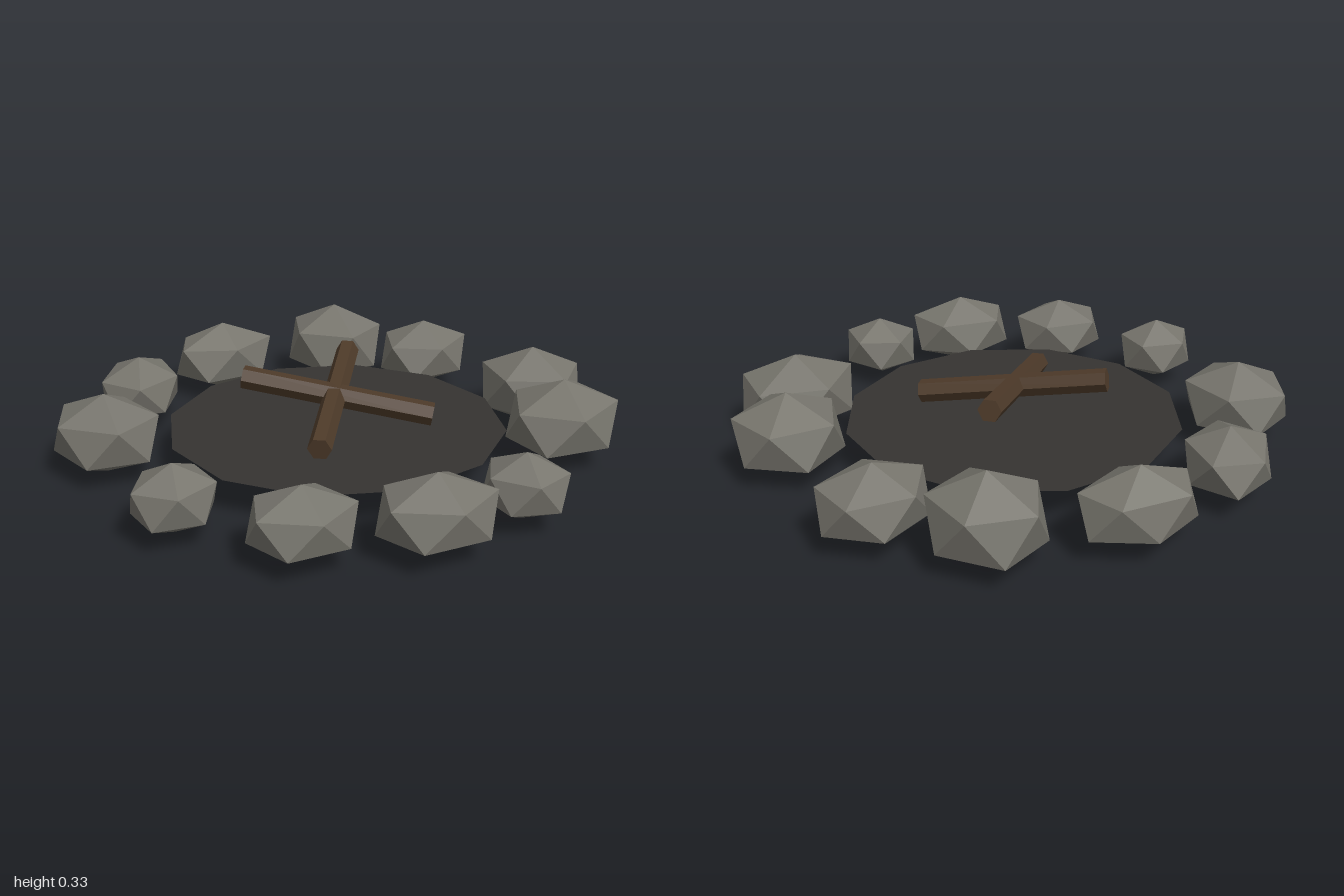
import * as THREE from 'three';

const rad = THREE.MathUtils.degToRad;
const mat = (color, side = THREE.FrontSide) => {
  const m = new THREE.MeshStandardMaterial({ color, flatShading: true });
  m.side = side;
  return m;
};

// Unit icosahedron standing on a corner, one upper ring corner towards +x
function standingIcosahedron() {
  const t = (1 + Math.sqrt(5)) / 2;
  return new THREE.IcosahedronGeometry(1, 0).rotateZ(-Math.atan(1 / t));
}

// Angles run from +x towards +z; stretch is applied along the given axis
function makeStone({ x, z, a, b, h, axis = 0, phase = -90 }, material) {
  const ring = 2 / Math.sqrt(5);
  const g = standingIcosahedron();
  g.rotateY(rad(axis - phase));
  g.scale(a / ring, h, b / ring);
  g.rotateY(-rad(axis));
  const stone = new THREE.Mesh(g, material);
  // the lower ring of every stone lies at the same height
  stone.position.set(x, 0.1 + 0.447 * h, z);
  return stone;
}

// Six-sided log between two points, flat side up
function makeLog(from, to, radius, material) {
  const dir = to.clone().sub(from);
  const g = new THREE.CylinderGeometry(radius, radius, dir.length(), 6);
  g.rotateZ(-Math.PI / 2);
  g.rotateZ(Math.atan2(dir.y, Math.hypot(dir.x, dir.z)));
  g.rotateY(-Math.atan2(dir.z, dir.x));
  const log = new THREE.Mesh(g, material);
  log.position.copy(from).add(to).multiplyScalar(0.5);
  return log;
}

export function createModel() {
  const model = new THREE.Group();
  model.name = 'campfire';

  // Ash bed: flat twelve-sided disc
  const ash = new THREE.Mesh(
    new THREE.CircleGeometry(0.625, 12).rotateX(-Math.PI / 2),
    mat(0x353331, THREE.DoubleSide)
  );
  ash.name = 'ashBed';
  ash.position.set(-0.013, 0.14, -0.007);
  model.add(ash);

  // Crossed logs
  const wood = mat(0x4d3a29);
  const logs = new THREE.Group();
  logs.name = 'logs';
  const ends = [
    [[-0.335, 0.19, 0.165], [0.29, 0.305, -0.18]],
    [[0.165, 0.19, 0.3], [-0.187, 0.305, -0.305]],
  ];
  for (const [from, to] of ends) {
    const log = makeLog(new THREE.Vector3(...from), new THREE.Vector3(...to), 0.043, wood);
    log.name = 'log';
    logs.add(log);
  }
  model.add(logs);

  // Ring of stones
  const rock = mat(0x77756d);
  const stones = new THREE.Group();
  stones.name = 'stoneRing';
  const layout = [
    { x: -0.22, z: -0.815, a: 0.19, b: 0.15, h: 0.125, axis: -35, phase: -85 },
    { x: 0.245, z: -0.795, a: 0.21, b: 0.145, h: 0.142, axis: 20, phase: -103 },
    { x: 0.645, z: -0.515, a: 0.188, b: 0.2, h: 0.165, phase: -95 },
    { x: 0.8, z: -0.16, a: 0.198, b: 0.168, h: 0.135, phase: -100 },
    { x: 0.7, z: 0.41, a: 0.195, b: 0.195, h: 0.155, phase: -107 },
    { x: 0.46, z: 0.67, a: 0.225, b: 0.193, h: 0.152, phase: -90 },
    { x: -0.09, z: 0.825, a: 0.139, b: 0.144, h: 0.118, phase: -83 },
    { x: -0.443, z: 0.71, a: 0.2, b: 0.16, h: 0.138, axis: 30, phase: -99 },
    { x: -0.738, z: 0.41, a: 0.178, b: 0.155, h: 0.127, axis: 30, phase: -99 },
    { x: -0.85, z: -0.025, a: 0.15, b: 0.136, h: 0.122, phase: -90 },
    { x: -0.633, z: -0.567, a: 0.182, b: 0.198, h: 0.148, phase: -95 },
  ];
  for (const spec of layout) {
    const stone = makeStone(spec, rock);
    stone.name = 'stone';
    stones.add(stone);
  }
  model.add(stones);

  return model;
}
